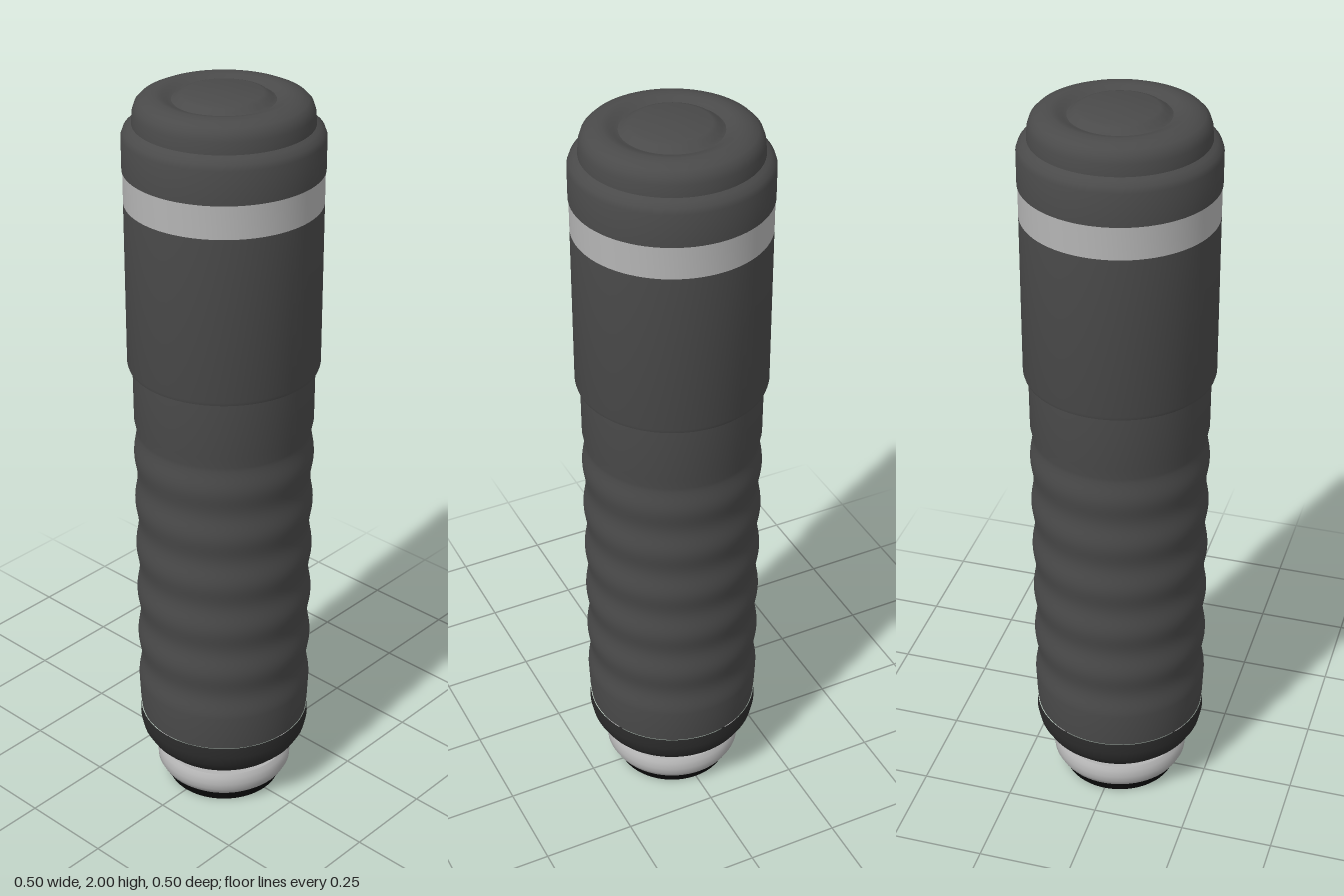
import * as THREE from 'three';
import { toCreasedNormals } from 'three/addons/utils/BufferGeometryUtils.js';

const material = (name, color) => new THREE.MeshStandardMaterial({ name, color });

export function createModel() {
  const group = new THREE.Group();
  const charcoal = material('charcoal', 0x4a4a4a);
  const darkGrey = material('dark grey', 0x2b2b2b);
  const silver = material('silver', 0xb4b4b4);
  const black = material('black', 0x080808);

  // Turned part from [radius, height] pairs, listed bottom to top
  const turn = (name, mat, profile) => {
    const points = profile.map(([r, y]) => new THREE.Vector2(r, y));
    const mesh = new THREE.Mesh(toCreasedNormals(new THREE.LatheGeometry(points, 80), 0.65), mat);
    mesh.name = name;
    group.add(mesh);
  };

  // Foot and connector ring
  turn('foot', black, [[0, 0], [0.155, 0], [0.155, 0.03]]);
  turn('connectorRing', silver, [
    [0.15, 0.022], [0.16, 0.024], [0.176, 0.038], [0.185, 0.055],
    [0.186, 0.072], [0.182, 0.09], [0.174, 0.1], [0.15, 0.1],
  ]);
  turn('neck', darkGrey, [[0.157, 0.095], [0.157, 0.118]]);

  // Rounded collar under the grip
  turn('collar', darkGrey, [
    [0.15, 0.108], [0.165, 0.112], [0.19, 0.126], [0.212, 0.148],
    [0.226, 0.172], [0.232, 0.2], [0.23, 0.23],
  ]);

  // Grip with shallow finger ripples
  const grip = [[0.228, 0.23], [0.231, 0.26]];
  for (let i = 0; i <= 72; i++) {
    const t = i / 72;
    grip.push([0.23 + 0.004 * Math.cos(t * Math.PI * 2 * 5.5), 0.33 + t * 0.77]);
  }
  grip.push([0.232, 1.13], [0.233, 1.29]);
  turn('grip', charcoal, grip);

  // Upper sleeve, band and cap
  turn('sleeve', charcoal, [[0.23, 1.285], [0.243, 1.285], [0.246, 1.295], [0.246, 1.725]]);
  turn('band', silver, [[0.246, 1.725], [0.246, 1.81]]);
  turn('cap', charcoal, [
    [0.248, 1.81], [0.248, 1.895], [0.243, 1.909], [0.232, 1.919], [0.222, 1.925],
    [0.22, 1.955], [0.214, 1.973], [0.203, 1.984], [0.185, 1.992], [0.165, 1.996],
    [0.148, 1.993], [0.136, 1.986], [0.126, 1.983], [0.117, 1.987],
    [0.107, 1.996], [0.095, 2], [0, 2],
  ]);
  return group;
}
